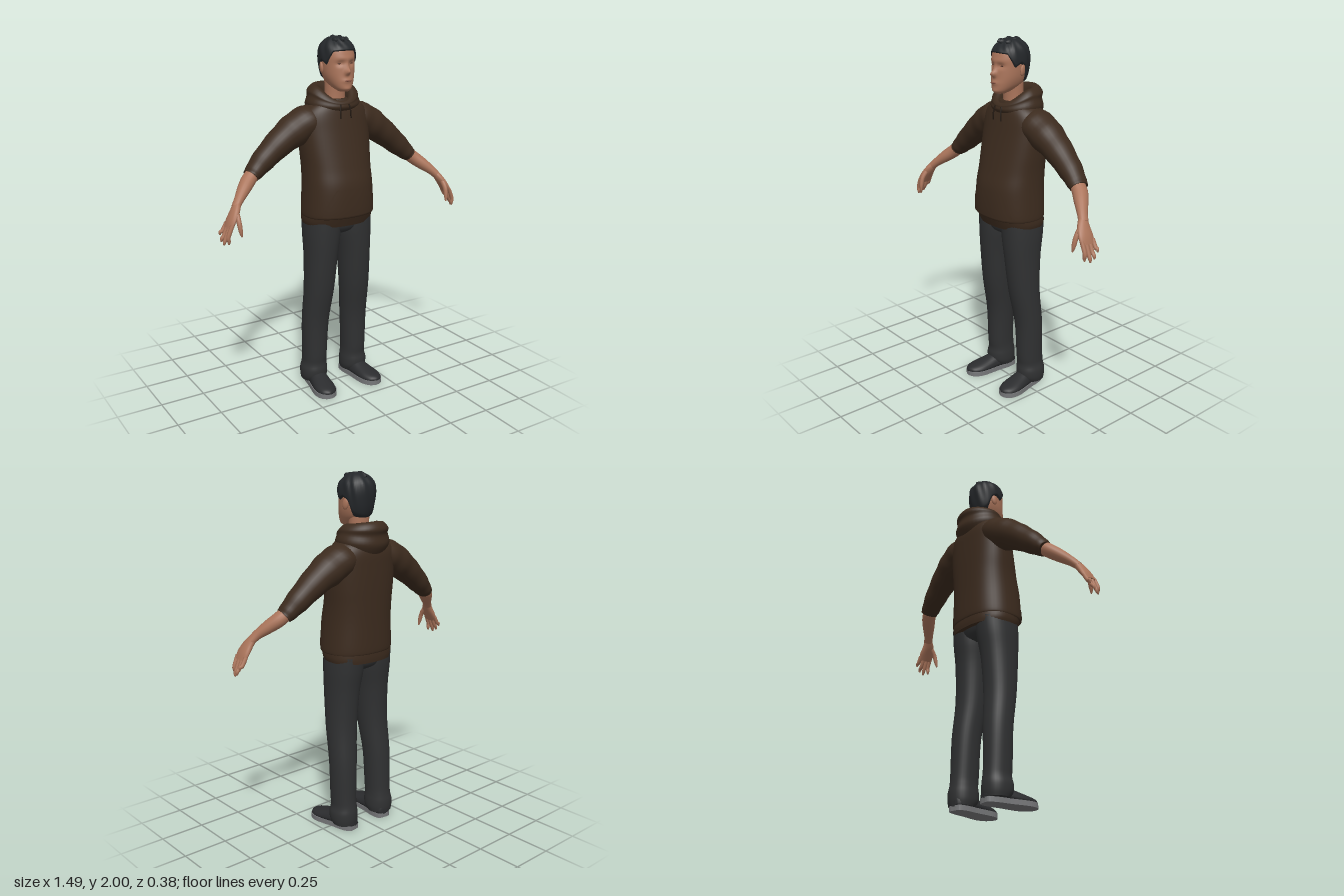
import * as THREE from 'three';

const V = (x, y, z) => new THREE.Vector3(x, y, z);
const mat = (name, color, side = THREE.FrontSide) => {
  const m = new THREE.MeshStandardMaterial({ color, side });
  m.name = name;
  return m;
};
const lerp = THREE.MathUtils.lerp;

// Smooth (Catmull-Rom) refinement of rows of numbers
function refine(rows, steps) {
  const out = [], last = rows.length - 1;
  for (let i = 0; i < last; i++) {
    const [a, b, c, d] = [rows[Math.max(i - 1, 0)], rows[i], rows[i + 1], rows[Math.min(i + 2, last)]];
    for (let k = 0; k < steps; k++) {
      const t = k / steps;
      out.push(b.map((_, j) => b[j] + 0.5 * t * (c[j] - a[j]
        + t * (2 * a[j] - 5 * b[j] + 4 * c[j] - d[j] + t * (3 * (b[j] - c[j]) + d[j] - a[j])))));
    }
  }
  out.push(rows[last]);
  return out;
}

// Interpolated row whose first number equals key
function at(rows, key) {
  let i = 0;
  while (i < rows.length - 2 && rows[i + 1][0] < key) i++;
  const t = THREE.MathUtils.clamp((key - rows[i][0]) / (rows[i + 1][0] - rows[i][0]), 0, 1);
  return rows[i].map((v, j) => lerp(v, rows[i + 1][j], t));
}

// Skin over rings of points; closed rings can be capped
function skinOver(rings, closed = true, caps = true) {
  const n = rings[0].length, pos = [], idx = [];
  rings.forEach(r => r.forEach(p => pos.push(p.x, p.y, p.z)));
  for (let i = 0; i < rings.length - 1; i++) {
    for (let j = 0; j < (closed ? n : n - 1); j++) {
      const a = i * n + j, b = i * n + (j + 1) % n;
      idx.push(a, b, b + n, a, b + n, a + n);
    }
  }
  if (caps) [rings[0], rings[rings.length - 1]].forEach((r, end) => {
    const o = pos.length / 3, c = V(0, 0, 0);
    r.forEach(p => { pos.push(p.x, p.y, p.z); c.addScaledVector(p, 1 / n); });
    pos.push(c.x, c.y, c.z);
    for (let j = 0; j < n; j++) {
      const a = o + j, b = o + (j + 1) % n;
      if (end) idx.push(a, b, o + n); else idx.push(b, a, o + n);
    }
  });
  const g = new THREE.BufferGeometry();
  g.setAttribute('position', new THREE.Float32BufferAttribute(pos, 3));
  g.setIndex(idx);
  g.computeVertexNormals();
  return g;
}

// Horizontal ring from a row [y, centre x, half width, front z, back z]
const pow = (v, p) => Math.sign(v) * Math.abs(v) ** p;
function ring([y, cx, rx, zf, zb], p = 1, n = 36, s = 1) {
  return Array.from({ length: n }, (_, j) => {
    const a = j / n * Math.PI * 2;
    return V(s * cx - rx * pow(Math.cos(a), p), y, (zf + zb) / 2 + (zf - zb) / 2 * pow(Math.sin(a), p));
  });
}

// Limb along a path of rows [x, y, z, thickness, width along z]
function limb(rows, s = 1, steps = 5, n = 18, ripple = 0) {
  const d = refine(rows, steps), c = d.map(r => V(r[0] * s, r[1], r[2]));
  return skinOver(d.map((r, i) => {
    const t = c[Math.min(i + 1, c.length - 1)].clone().sub(c[Math.max(i - 1, 0)]).normalize();
    const v = V(0, 0, 1).addScaledVector(t, -t.z).normalize(), u = v.clone().cross(t);
    const k = 1 + ripple * Math.sin(i * 1.3);
    return Array.from({ length: n }, (_, j) => {
      const a = j / n * Math.PI * 2;
      return c[i].clone().addScaledVector(u, r[3] * k * Math.cos(a)).addScaledVector(v, r[4] * k * Math.sin(a));
    });
  }));
}

const TORSO = refine([
  [1.035, 0, .203, .15, -.16], [1.06, 0, .206, .16, -.165], [1.2, 0, .198, .157, -.166], [1.3, 0, .196, .135, -.168],
  [1.4, 0, .202, .112, -.17], [1.5, 0, .205, .09, -.17], [1.58, 0, .2, .074, -.167], [1.63, 0, .165, .062, -.15],
  [1.67, 0, .1, .045, -.12]], 5);
const HEAD = refine([
  [1.714, 0, .025, .088, .03], [1.73, 0, .045, .103, -.01], [1.76, 0, .066, .105, -.07], [1.8, 0, .08, .1, -.09],
  [1.85, 0, .086, .096, -.1], [1.9, 0, .087, .094, -.104], [1.94, 0, .079, .08, -.096], [1.965, 0, .06, .055, -.073],
  [1.98, 0, .035, .025, -.045], [1.985, 0, .006, -.005, -.015]], 6);
const LEG = refine([
  [.03, .135, .068, .01, -.125], [.06, .135, .075, .032, -.13], [.1, .135, .075, .036, -.13], [.14, .132, .068, .03, -.124],
  [.2, .132, .068, .035, -.12], [.4, .128, .075, .043, -.115], [.6, .117, .083, .078, -.1], [.8, .108, .09, .1, -.11],
  [.93, .1, .1, .11, -.13], [1.02, .098, .098, .113, -.14]], 4);
// Hairline height by direction, -1 back to 1 front
const HAIRLINE = [[-1, 1.75], [-.6, 1.775], [-.3, 1.85], [0, 1.87], [.3, 1.85], [.5, 1.885], [.7, 1.92], [1, 1.925]];

// Nose, eye sockets, brow and lips as soft bumps
const bump = (x, y, cx, cy, wx, wy, h) => h * Math.exp(-(((x - cx) / wx) ** 2) - ((y - cy) / wy) ** 2);
const faceBumps = (x, y) => bump(x, y, 0, 1.818, .013, .014, .028) + bump(x, y, 0, 1.84, .01, .024, .012)
  + bump(Math.abs(x), y, .034, 1.86, .02, .013, -.011) + bump(x, y, 0, 1.885, .055, .012, .004)
  + bump(x, y, 0, 1.772, .024, .01, .006) + bump(x, y, 0, 1.727, .025, .012, .005);
const frontZ = (rows, p, x, y) => {
  const [, , rx, zf, zb] = at(rows, y);
  return (zf + zb) / 2 + (zf - zb) / 2 * Math.max(0, 1 - Math.abs(x / rx) ** (2 / p)) ** (p / 2);
};

export function createModel() {
  const cloth = mat('brown cloth', 0x3c2b1e, THREE.DoubleSide), denim = mat('charcoal cloth', 0x303132);
  const skin = mat('skin', 0xab755b), hair = mat('black hair', 0x24272a, THREE.DoubleSide);
  const sole = mat('grey rubber', 0x77787a), leather = mat('dark shoe', 0x2b2c2e);
  const lip = mat('lip', 0x8c5847), eye = mat('eye', 0x5a3a2e), cord = mat('dark cord', 0x21170f);
  const model = new THREE.Group();
  const add = (name, geo, m, parent = model) => {
    const mesh = new THREE.Mesh(geo, m);
    mesh.name = name;
    parent.add(mesh);
    return mesh;
  };

  // Sweatshirt body, hem and front pocket
  add('sweatshirtBody', skinOver(TORSO.map(r => ring(r, .85, 48))), cloth);
  add('sweatshirtHem', skinOver(refine([[.985, 0, .196, .125, -.157], [1.01, 0, .203, .135, -.16],
    [1.04, 0, .203, .147, -.16]], 3).map(r => ring(r, .85, 48))), cloth);
  const pocket = [];
  for (let i = 0; i <= 8; i++) {
    const y = lerp(1.05, 1.2, i / 8), w = lerp(.165, .095, (i / 8) ** 1.5);
    pocket.push(Array.from({ length: 17 }, (_, j) => {
      const x = w * (j / 8 - 1);
      return V(x, y, frontZ(TORSO, .85, x, y) + .006);
    }));
  }
  add('frontPocket', skinOver(pocket, false, false), cloth);

  // Hood: each row gives side [x, y], front [z, y] and back [z, y]
  const hoodRows = refine([
    [.14, 1.6, .06, 1.6, -.165, 1.575], [.155, 1.645, .078, 1.625, -.19, 1.625], [.143, 1.685, .076, 1.642, -.182, 1.675],
    [.14, 1.71, .074, 1.65, -.192, 1.71], [.112, 1.735, .062, 1.66, -.165, 1.745], [.082, 1.725, .045, 1.65, -.115, 1.735],
    [.062, 1.66, .03, 1.61, -.085, 1.66]], 4);
  add('hood', skinOver(hoodRows.map(([sx, sy, fz, fy, bz, by]) => Array.from({ length: 40 }, (_, j) => {
    const a = j / 40 * Math.PI * 2, f = Math.sin(a), zc = -.05;
    return V(-sx * Math.cos(a), lerp(sy, f > 0 ? fy : by, Math.abs(f) ** 1.5), lerp(zc, f > 0 ? fz : bz, Math.abs(f)));
  })), true, false), cloth);

  // Neck, head and ears
  add('neck', skinOver(refine([[1.58, 0, .07, .03, -.09], [1.68, 0, .056, .025, -.08], [1.79, 0, .06, .03, -.08]], 4)
    .map(r => ring(r, 1, 24))), skin);
  const headRings = HEAD.map(r => ring(r, .92, 72));
  headRings.flat().forEach(p => { if (p.z > .03) p.z += faceBumps(p.x, p.y); });
  add('head', skinOver(headRings), skin);
  const patch = (name, x, y, w, h, m) => {
    const g = new THREE.SphereGeometry(1, 14, 8).scale(w, h, .004);
    add(name, g, m).position.set(x, y, frontZ(HEAD, .92, x, y) + faceBumps(x, y));
  };
  patch('mouth', 0, 1.772, .022, .005, lip);
  for (const s of [1, -1]) {
    patch(s > 0 ? 'leftEye' : 'rightEye', .034 * s, 1.86, .013, .004, eye);
    const ear = add(s > 0 ? 'leftEar' : 'rightEar', new THREE.SphereGeometry(1, 14, 10).scale(.01, .031, .018), skin);
    ear.position.set(.087 * s, 1.835, -.018);
    ear.rotation.set(-.15, .3 * s, 0);
  }

  // Short hair following the hairline, with combed ridges
  const hairRings = [];
  for (let i = 0; i <= 22; i++) {
    const t = i / 22, e = Math.sin(t * Math.PI / 2);
    hairRings.push(Array.from({ length: 72 }, (_, j) => {
      const a = j / 72 * Math.PI * 2, y = lerp(at(HAIRLINE, Math.sin(a))[1], 1.985, e);
      const p = ring(at(HEAD, y), .92, 72)[j];
      const o = (i ? .009 : 0) + .003 * Math.sin(a * 11 + t * 7) * Math.sin(t * Math.PI);
      return V(p.x - o * Math.cos(a), y + .011 * e ** 6 + .004 * Math.sin(a * 5 + t * 9) * t * (1 - t), p.z + o * Math.sin(a));
    }));
  }
  add('hair', skinOver(hairRings), hair);
  [[-.035, .03], [0, .045], [.035, .03], [-.02, -.01], [.025, -.015], [0, -.045]].forEach(([x, z]) => {
    const y = 1.977 - 5 * x * x - 3 * (z + .01) ** 2;
    add('hairTuft', limb([[x, y - .012, z - .03, .012, .02], [x, y + .008, z, .014, .02], [x, y + .012, z + .022, .003, .004]], 1, 4, 10), hair);
  });

  // Trouser seat
  add('trouserSeat', skinOver(refine([[.925, 0, .05, .05, -.07], [.955, 0, .13, .095, -.12], [1.02, 0, .185, .113, -.14]], 4)
    .map(r => ring(r, .9))), denim);

  for (const s of [1, -1]) {
    const side = s > 0 ? 'left' : 'right';
    // Sleeve, forearm and hand
    add(side + 'Sleeve', limb([[.08, 1.56, -.055, .06, .085], [.15, 1.553, -.055, .086, .1], [.235, 1.51, -.055, .09, .095],
      [.33, 1.45, -.052, .075, .08], [.43, 1.37, -.045, .062, .066], [.49, 1.317, -.035, .048, .056],
      [.512, 1.298, -.03, .04, .052]], s, 5, 24, .02), cloth);
    add(side + 'Forearm', limb([[.48, 1.325, -.035, .036, .04], [.53, 1.283, -.018, .038, .042], [.575, 1.245, .015, .034, .037],
      [.62, 1.205, .05, .025, .028], [.65, 1.172, .07, .021, .027]], s), skin);
    add(side + 'Palm', limb([[.64, 1.185, .064, .02, .025], [.662, 1.15, .08, .021, .038], [.687, 1.11, .088, .018, .047],
      [.705, 1.075, .09, .013, .044]], s), skin);
    [[.125, .72, .995], [.1, .734, .987], [.076, .738, 1], [.052, .735, 1.03]].forEach(([z, x, y]) => {
      add(side + 'Finger', limb([[.697, 1.095, z, .011, .012], [.72, lerp(1.075, y, .45), z, .011, .0115],
        [x - .002, y + .02, z, .009, .01], [x, y + .004, z, .004, .004]], s, 4, 10), skin);
    });
    add(side + 'Thumb', limb([[.66, 1.15, .1, .014, .016], [.662, 1.11, .13, .013, .014], [.66, 1.065, .143, .011, .011],
      [.656, 1.035, .147, .004, .004]], s, 4, 10), skin);

    // Drawstring
    add(side + 'Drawstring', limb([[.026, 1.645, .076, .004, .004], [.031, 1.61, .084, .004, .004],
      [.033, 1.57, .086, .004, .004]], s, 3, 8), cord);

    // Trouser leg
    add(side + 'TrouserLeg', skinOver(LEG.map(r => ring(r, .92, 32, s))), denim);

    // Shoe: rows [z, half width, top height], turned outward
    const shoe = new THREE.Group();
    shoe.name = side + 'Shoe';
    shoe.position.x = .135 * s;
    shoe.rotation.y = .15 * s;
    model.add(shoe);
    const rows = refine([[-.128, .012, .06], [-.118, .036, .085], [-.07, .05, .095], [0, .052, .095], [.06, .058, .078],
      [.12, .06, .063], [.165, .045, .052], [.185, .022, .042], [.191, .006, .034]], 4);
    add(side + 'ShoeUpper', skinOver(rows.map(([z, w, h]) => Array.from({ length: 17 }, (_, j) => {
      const a = j / 16 * Math.PI;
      return V(w * Math.cos(a), .022 + (h - .022) * Math.sin(a) ** .75, z);
    }))), leather, shoe);
    const outline = [...rows.map(([z, w]) => new THREE.Vector2(w + .004, -z)),
      ...rows.map(([z, w]) => new THREE.Vector2(-w - .004, -z)).reverse()];
    const soleGeo = new THREE.ExtrudeGeometry(new THREE.Shape(outline), { depth: .027, bevelEnabled: false });
    add(side + 'ShoeSole', soleGeo.rotateX(-Math.PI / 2), sole, shoe);
  }

  return model;
}
